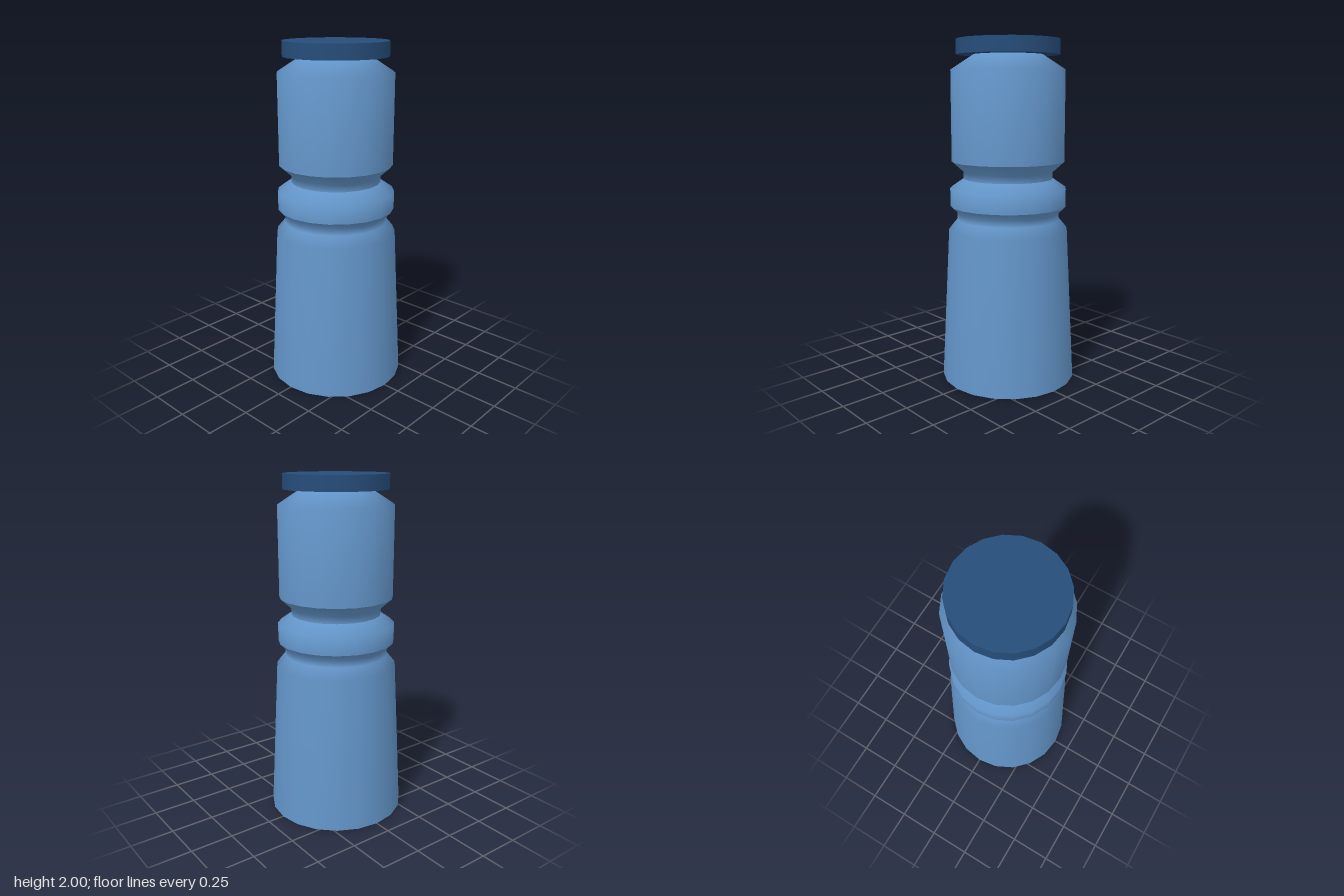
import * as THREE from 'three';

const SIDES = 20;

export function createModel() {
  const group = new THREE.Group();
  const bodyBlue = new THREE.MeshStandardMaterial({ color: 0x6395c9 });
  bodyBlue.name = 'bodyBlue';
  const capBlue = new THREE.MeshStandardMaterial({ color: 0x264d7a });
  capBlue.name = 'capBlue';

  // Each [radius, height] profile is smooth inside and meets the next at a hard edge
  const turned = (name, profile) => {
    const points = profile.map(([r, y]) => new THREE.Vector2(r, y));
    const mesh = new THREE.Mesh(new THREE.LatheGeometry(points, SIDES), bodyBlue);
    mesh.name = name;
    group.add(mesh);
  };

  turned('baseDisc', [[0, 0], [0.4, 0]]);
  turned('taperedBase', [[0.4, 0], [0.352, 0.905], [0.302, 0.965], [0.302, 1.005], [0.342, 1.045]]);
  turned('ring', [[0.342, 1.045], [0.342, 1.15], [0.262, 1.205]]);
  turned('neck', [[0.262, 1.205], [0.262, 1.245], [0.331, 1.307]]);
  turned('upperBody', [[0.331, 1.307], [0.331, 1.83], [0.2, 1.915]]);

  // Flat cap overhanging the shoulder
  const cap = new THREE.Mesh(new THREE.CylinderGeometry(0.3, 0.3, 0.085, SIDES), capBlue);
  cap.position.y = 1.9575;
  cap.name = 'cap';
  group.add(cap);

  return group;
}
